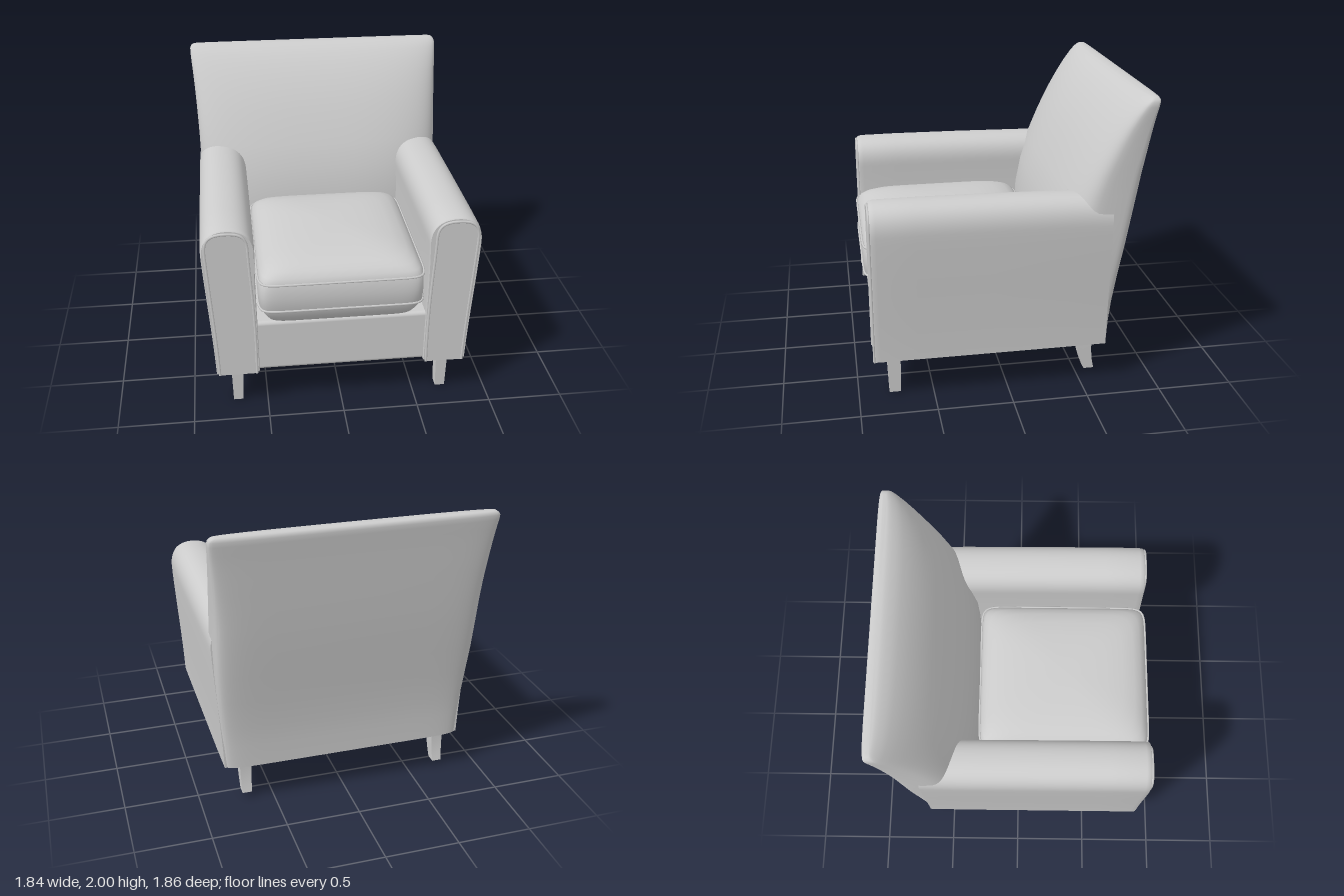
import * as THREE from 'three';
import { toCreasedNormals } from 'three/addons/utils/BufferGeometryUtils.js';
import { RoundedBoxGeometry } from 'three/addons/geometries/RoundedBoxGeometry.js';

const fabric = new THREE.MeshStandardMaterial({ color: 0xcccccc });
fabric.name = 'light grey';

// Skin a list of closed rings (arrays of Vector3) and cap both ends.
function loft(rings, crease = 0.7) {
  const n = rings[0].length, pos = [], idx = [];
  rings.forEach(r => r.forEach(p => pos.push(p.x, p.y, p.z)));
  for (let i = 0; i < rings.length - 1; i++) {
    for (let j = 0; j < n; j++) {
      const a = i * n + j, b = i * n + (j + 1) % n;
      idx.push(a, a + n, b, b, a + n, b + n);
    }
  }
  [0, rings.length - 1].forEach((k, end) => {
    const c = new THREE.Vector3();
    rings[k].forEach(p => c.addScaledVector(p, 1 / n));
    const centre = pos.length / 3;
    pos.push(c.x, c.y, c.z);
    for (let j = 0; j < n; j++) {
      const a = k * n + j, b = k * n + (j + 1) % n;
      if (end) idx.push(a, centre, b); else idx.push(a, b, centre);
    }
  });
  const g = new THREE.BufferGeometry();
  g.setAttribute('position', new THREE.Float32BufferAttribute(pos, 3));
  g.setIndex(idx);
  return toCreasedNormals(g, crease);
}

// Horizontal squarish ring with separate front and back depths and corner sharpness.
function ring(y, w, zBack, zMid, zFront, nFront, nBack, count = 80) {
  const pts = [];
  for (let j = 0; j < count; j++) {
    const t = (j / count) * Math.PI * 2, c = Math.cos(t), s = Math.sin(t);
    const e = 2 / (s >= 0 ? nFront : nBack);
    const depth = s >= 0 ? zFront - zMid : zMid - zBack;
    pts.push(new THREE.Vector3(
      w * Math.sign(c) * Math.abs(c) ** e, y,
      zMid + depth * Math.sign(s) * Math.abs(s) ** e));
  }
  return pts;
}

function armOutline() {
  const s = new THREE.Shape();
  s.moveTo(0.55, 0.29);
  s.lineTo(0.838, 0.29);
  s.bezierCurveTo(0.85, 0.6, 0.885, 0.95, 0.895, 1.18);
  s.bezierCurveTo(0.9, 1.31, 0.83, 1.367, 0.735, 1.367);
  s.bezierCurveTo(0.62, 1.367, 0.55, 1.31, 0.557, 1.18);
  s.bezierCurveTo(0.565, 0.95, 0.55, 0.6, 0.55, 0.29);
  return s;
}

function panelOutline() {
  const s = new THREE.Shape();
  s.moveTo(0.57, 0.28);
  s.lineTo(0.815, 0.28);
  s.bezierCurveTo(0.825, 0.6, 0.855, 0.95, 0.868, 1.2);
  s.bezierCurveTo(0.872, 1.3, 0.84, 1.335, 0.735, 1.335);
  s.bezierCurveTo(0.63, 1.335, 0.6, 1.3, 0.6, 1.2);
  s.bezierCurveTo(0.59, 0.95, 0.565, 0.75, 0.57, 0.28);
  return s;
}

// Mirror an outline to the given side while keeping it counter-clockwise.
function mirrored(shape, side) {
  let pts = shape.getPoints(14);
  if (pts[0].distanceTo(pts[pts.length - 1]) < 1e-6) pts.pop();
  pts = pts.map(p => new THREE.Vector2(p.x * side, p.y));
  return side < 0 ? pts.reverse() : pts;
}

function piping(points, closed, radius = 0.008) {
  const path = new THREE.CatmullRomCurve3(points, closed, 'centripetal');
  return new THREE.TubeGeometry(path, 160, radius, 6, closed);
}

// Four-sided leg from rows of [y, x half-width, z centre, z half-width].
function legGeometry(x, rows) {
  return loft(rows.map(([y, w, z, d, dx = 0]) =>
    [[1, 1], [-1, 1], [-1, -1], [1, -1]].map(([a, b]) =>
      new THREE.Vector3(x + dx + a * w, y, z + b * d))), 0.5);
}

export function createModel() {
  const chair = new THREE.Group();
  chair.name = 'armchair';
  const add = (name, geometry, parent = chair) => {
    const m = new THREE.Mesh(geometry, fabric);
    m.name = name;
    parent.add(m);
    return m;
  };

  // Seat base and front rail
  add('seatBase', new RoundedBoxGeometry(1.4, 0.37, 1.47, 4, 0.025)).position.set(0, 0.475, 0.135);

  // Leaning backrest: height, half-width, back z, widest z, front z
  const backRows = [
    [0.29, 0.83, -0.69, -0.55, -0.3],
    [0.45, 0.84, -0.697, -0.55, -0.29],
    [0.6, 0.852, -0.712, -0.55, -0.28],
    [0.8, 0.867, -0.743, -0.56, -0.275],
    [1.0, 0.878, -0.78, -0.58, -0.285],
    [1.2, 0.883, -0.815, -0.6, -0.325],
    [1.36, 0.885, -0.842, -0.63, -0.385],
    [1.5, 0.89, -0.862, -0.67, -0.45],
    [1.6, 0.895, -0.877, -0.71, -0.5],
    [1.7, 0.901, -0.891, -0.75, -0.557],
    [1.8, 0.908, -0.905, -0.79, -0.625],
    [1.88, 0.915, -0.917, -0.825, -0.69],
    [1.94, 0.92, -0.927, -0.855, -0.75],
    [1.97, 0.92, -0.931, -0.87, -0.79],
    [1.985, 0.912, -0.929, -0.877, -0.82],
    [1.996, 0.897, -0.921, -0.882, -0.843],
    [2.0, 0.875, -0.908, -0.885, -0.862],
  ];
  add('backrest', loft(backRows.map(([y, w, zb, zm, zf]) => ring(y, w, zb, zm, zf, 3, 9))));

  // Seat cushion: height, scale, corner sharpness
  const cushion = (y, s, n, bow = 0) => ring(y, 0.54 * s, 0.32 - 0.595 * s, 0.32, 0.32 + (0.595 + bow) * s, n, n);
  add('seatCushion', loft([
    [0.65, 0.9, 12], [0.7, 0.95, 13], [0.765, 1, 14], [0.86, 1.008, 14], [0.96, 1, 14],
    [0.995, 0.97, 12], [1.025, 0.92, 9], [1.05, 0.84, 7], [1.072, 0.7, 5.5],
    [1.087, 0.5, 4.5], [1.096, 0.28, 4], [1.1, 0.08, 3],
  ].map(r => cushion(...r)), 1.2));
  for (const [name, y] of [['cushionTopPiping', 0.96], ['cushionBottomPiping', 0.765]]) {
    add(name, piping(cushion(y, 1.005, 14), true));
  }

  for (const side of [1, -1]) {
    const label = side > 0 ? 'left' : 'right';
    const arm = new THREE.Group();
    arm.name = label + 'Arm';
    chair.add(arm);

    // Rolled arm, slightly rounded at the front
    const outline = mirrored(armOutline(), side);
    const armRows = [[0.885, 0.965, 0.985], [0.878, 0.985, 0.992], [0.85, 1, 0.998], [0.6, 1, 1],
      [0.1, 1, 0.996], [-0.4, 1, 0.988], [-0.66, 0.98, 0.98]];
    add(label + 'ArmBody', loft(armRows.map(([z, sx, sy]) => outline.map(p =>
      new THREE.Vector3(side * 0.71 + (p.x - side * 0.71) * sx, 0.29 + (p.y - 0.29) * sy, z)))), arm);

    // Piped front panel
    const panel = mirrored(panelOutline(), side);
    const slab = new THREE.ExtrudeGeometry(new THREE.Shape(panel), { depth: 0.018, bevelEnabled: false });
    add(label + 'ArmPanel', toCreasedNormals(slab, 0.6), arm).position.z = 0.875;
    const seam = panelOutline().getPoints(14).slice(1).map(p => new THREE.Vector3(p.x * side, p.y, 0.89));
    add(label + 'ArmPiping', piping(seam, false, 0.009), arm);

    // Tapered front leg and swept rear leg
    add(label + 'FrontLeg', legGeometry(side * 0.7, [
      [0, 0.033, 0.757, 0.038], [0.3, 0.04, 0.76, 0.046]]));
    add(label + 'RearLeg', legGeometry(side * 0.7 - 0.02, [
      [0.04, 0.033, -0.585, 0.035], [0.1, 0.035, -0.567, 0.04], [0.17, 0.038, -0.553, 0.046],
      [0.24, 0.04, -0.546, 0.051], [0.3, 0.042, -0.544, 0.055]]));
  }
  return chair;
}
